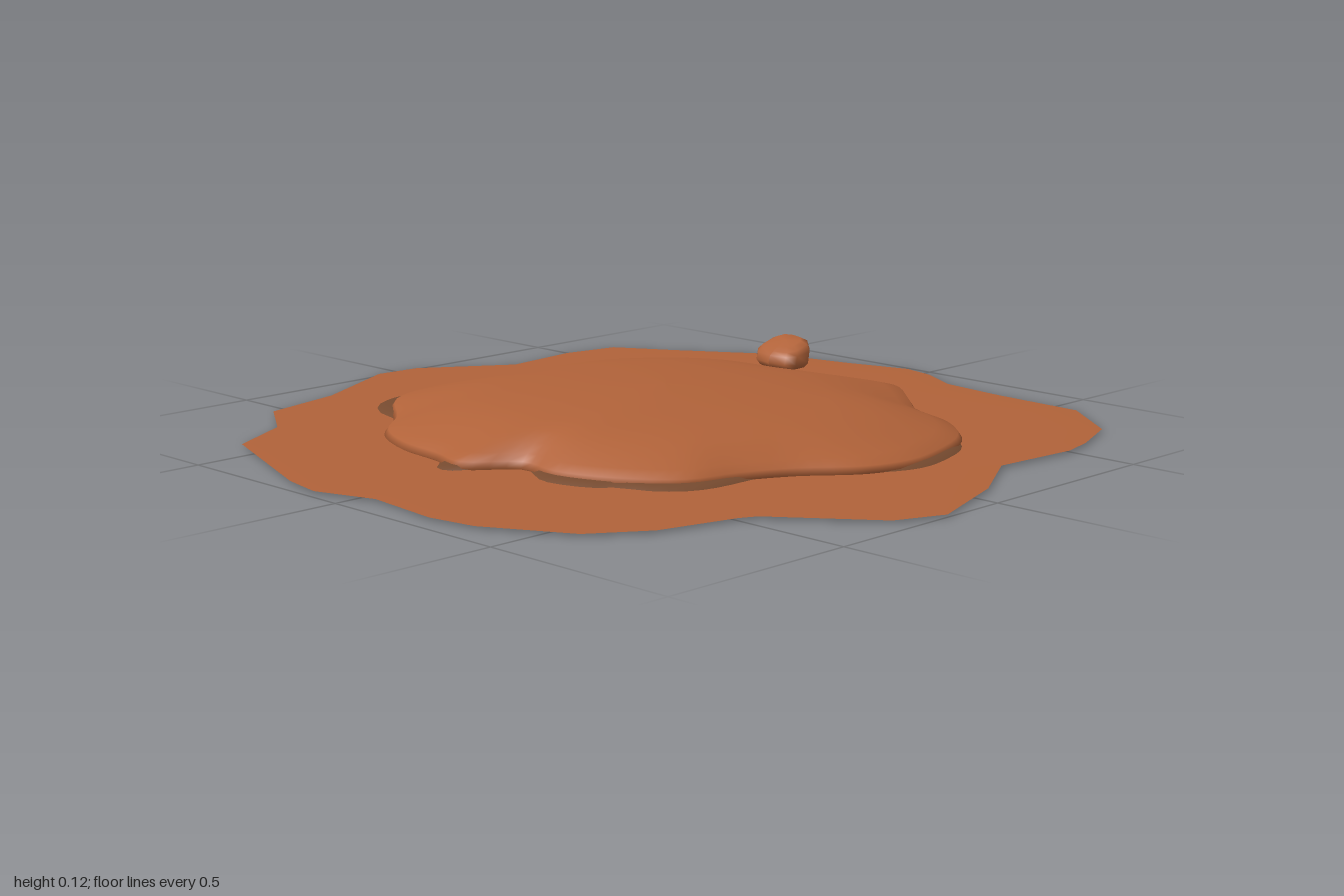
import * as THREE from 'three';

// Outlines as x, z pairs, running clockwise seen from above
const SKIRT = [
  -0.07, -1, 0.05, -0.99, 0.27, -0.84, 0.48, -0.86, 0.63, -0.83, 0.72, -0.68, 0.87, -0.45, 0.92, -0.22,
  0.97, -0.05, 0.95, 0.04, 0.89, 0.15, 0.87, 0.33, 0.86, 0.58, 0.73, 0.75, 0.58, 0.81, 0.49, 0.83,
  0.26, 0.81, 0.07, 0.92, -0.17, 1, -0.29, 0.95, -0.46, 0.73, -0.5, 0.71, -0.69, 0.66, -0.82, 0.57,
  -0.93, 0.37, -0.95, 0.25, -0.93, 0.05, -0.98, -0.1, -0.96, -0.21, -0.82, -0.58, -0.65, -0.67,
  -0.55, -0.82, -0.33, -0.87,
];
const MOUND = [
  -0.15, -0.71, 0, -0.66, 0.15, -0.64, 0.3, -0.62, 0.42, -0.54, 0.55, -0.45, 0.64, -0.33, 0.64, -0.2,
  0.63, -0.1, 0.7, 0.02, 0.72, 0.12, 0.62, 0.25, 0.53, 0.35, 0.47, 0.5, 0.37, 0.61, 0.22, 0.67,
  0.1, 0.69, -0.02, 0.66, -0.15, 0.56, -0.27, 0.5, -0.4, 0.46, -0.5, 0.34, -0.55, 0.2, -0.54, 0.08,
  -0.64, -0.02, -0.62, -0.12, -0.6, -0.27, -0.54, -0.4, -0.43, -0.5, -0.3, -0.66,
];
// Places where the dark base shows past the mound: angle, half width, reach
const BULGES = [
  [-2.02, 0.18, 0.05], [-1.42, 0.06, 0.035], [-1.02, 0.1, 0.05], [-0.12, 0.15, 0.045], [0.67, 0.15, 0.035],
  [1.29, 0.25, 0.025], [2.28, 0.25, 0.05], [2.72, 0.2, 0.05], [-3.06, 0.07, 0.035],
];

const toPoints = (flat) => {
  const pts = [];
  for (let i = 0; i < flat.length; i += 2) pts.push(new THREE.Vector3(flat[i], 0, flat[i + 1]));
  return pts;
};

// Rings of [scale, height, roundness] drawn from an outline; height may be reshaped by a rule
function loft(outline, rings, heightRule = (x, z, y) => y) {
  const n = outline.length;
  const pos = [];
  const index = [];
  rings.forEach(([s, y, round = 0], r) => {
    outline.forEach((p, i) => {
      const k = s * THREE.MathUtils.lerp(1, 0.63 / p.length(), round);
      const x = p.x * k, z = p.z * k;
      pos.push(x, heightRule(x, z, y), z);
      if (r === rings.length - 1) return;
      const a = r * n + i, b = r * n + (i + 1) % n;
      if (s > 0) index.push(a, a + n, b);
      if (rings[r + 1][0] > 0) index.push(b, a + n, b + n);
    });
  });
  const geo = new THREE.BufferGeometry();
  geo.setAttribute('position', new THREE.Float32BufferAttribute(pos, 3));
  geo.setIndex(index);
  geo.computeVertexNormals();
  return geo;
}

export function createModel() {
  const group = new THREE.Group();
  const soil = new THREE.MeshStandardMaterial({ color: 0xb06239, side: THREE.DoubleSide });
  soil.name = 'reddish soil';
  const darkSoil = new THREE.MeshStandardMaterial({ color: 0x764a2f, side: THREE.DoubleSide });
  darkSoil.name = 'dark soil';

  const add = (name, geo, material) => {
    const mesh = new THREE.Mesh(geo, material);
    mesh.name = name;
    group.add(mesh);
    return mesh;
  };

  // Thin ragged skirt lying on the ground, open under the mound
  add('soilSkirt', loft(toPoints(SKIRT), [[1, 0.01], [0.9, 0.012], [0.75, 0.012], [0.5, 0.012]]), soil);

  // Low mound with a rolled lip and a gently uneven, rounder top
  const edge = new THREE.CatmullRomCurve3(toPoints(MOUND), true).getPoints(120).slice(0, 120);
  const uneven = (x, z, y) => {
    const lift = Math.max(0, y - 0.03);
    return y + lift * (0.06 * Math.sin(5 * x + 2) * Math.cos(6 * z) - 0.18 * Math.max(0, x - 0.3)
      - 0.08 * THREE.MathUtils.smoothstep(z, 0.1, 0.25));
  };
  add('soilMound', loft(edge, [
    [0.975, 0.005], [1, 0.016], [0.985, 0.03], [0.93, 0.046, 0.15], [0.85, 0.066, 0.4], [0.75, 0.087, 0.7],
    [0.62, 0.1, 1], [0.45, 0.108, 1], [0.25, 0.113, 1], [0, 0.115, 1],
  ], uneven), soil);

  // Dark base: flat underside, and a shelf that peeks out around the mound
  add('darkUnderside', loft(edge, [[0, 0.004], [0.975, 0.004]]), darkSoil);
  const shelf = edge.map((p) => {
    const angle = Math.atan2(p.z, p.x);
    let reach = 0.98;
    for (const [at, width, amount] of BULGES) {
      const d = Math.atan2(Math.sin(angle - at), Math.cos(angle - at)) / width;
      reach = Math.max(reach, 0.98 + (amount + 0.02) * Math.exp(-d * d * d * d));
    }
    return p.clone().multiplyScalar(reach);
  });
  add('darkShelf', loft(shelf, [[1, 0.013], [0.97, 0.022], [0.9, 0.024]]), darkSoil);

  // Small lump beside the mound, taller on its outer side
  const lump = new THREE.SphereGeometry(1, 10, 7);
  const p = lump.attributes.position;
  const square = (v) => Math.sign(v) * Math.pow(Math.abs(v), 0.7);
  for (let i = 0; i < p.count; i++) {
    const x = square(p.getX(i)), y = square(p.getY(i)), z = square(p.getZ(i));
    const height = y > 0 ? 0.042 + x * 0.022 : 0.034;
    p.setXYZ(i, x * 0.055 + Math.max(0, y) * 0.015 - z * 0.008, y * height, z * 0.082);
  }
  lump.computeVertexNormals();
  add('soilLump', lump, soil).position.set(0.738, 0.045, -0.293);

  return group;
}
